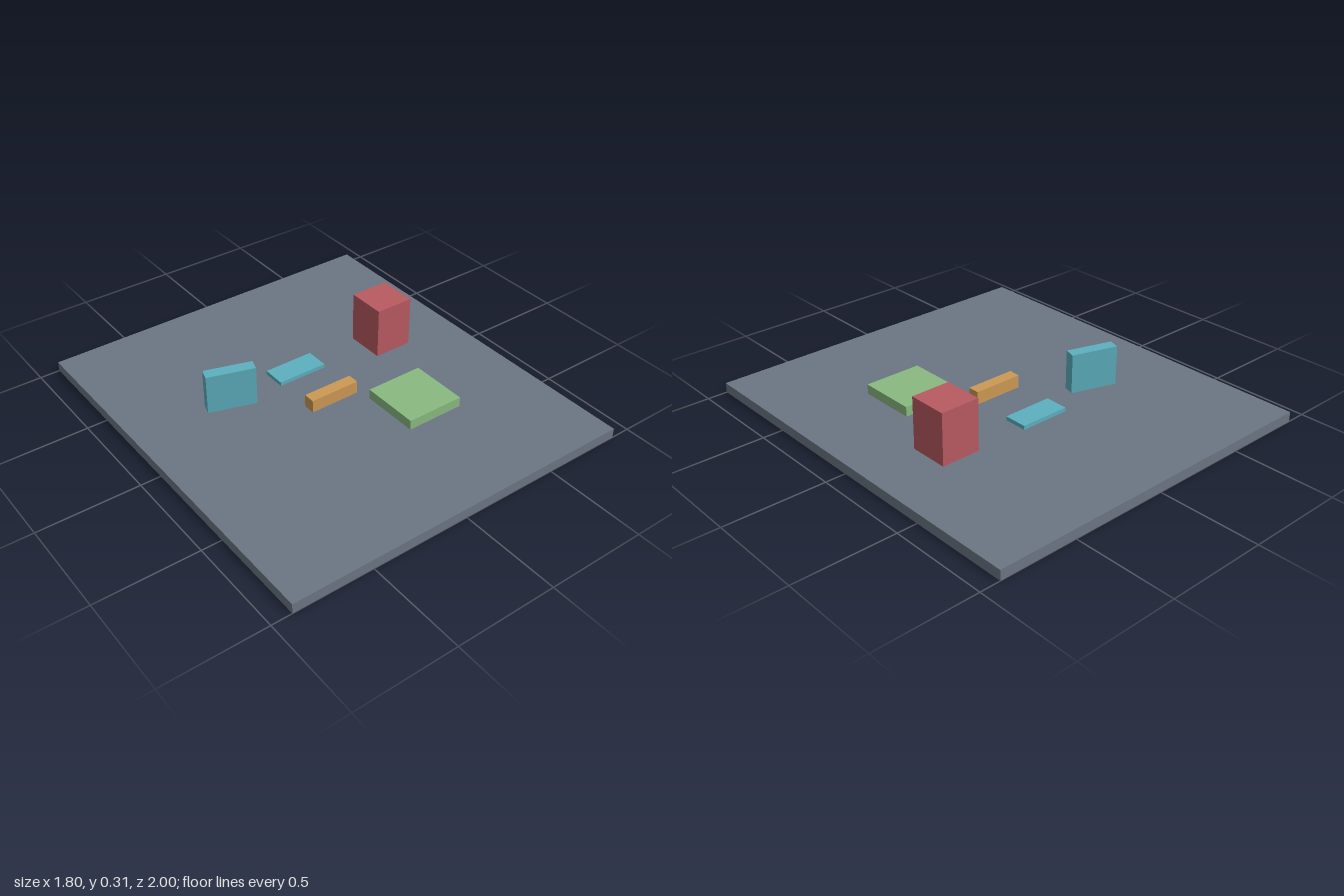
import * as THREE from 'three';

const flat = (name, color) => {
  const m = new THREE.MeshStandardMaterial({ color });
  m.name = name;
  return m;
};

export function createModel() {
  const model = new THREE.Group();
  model.name = 'blocksOnBoard';

  const slate = flat('slate', 0x6b7683);
  const teal = flat('teal', 0x5cafbe);
  const red = flat('red', 0xb85a61);
  const orange = flat('orange', 0xcc9955);
  const green = flat('green', 0x8aba80);

  // Box of size w, h, d resting at height y
  const block = (name, material, [w, h, d], [x, y, z], turn = 0) => {
    const mesh = new THREE.Mesh(new THREE.BoxGeometry(w, h, d), material);
    mesh.name = name;
    mesh.position.set(x, y + h / 2, z);
    mesh.rotation.y = turn;
    model.add(mesh);
  };

  const top = 0.05; // upper face of the board

  block('baseBoard', slate, [1.8, top, 2], [0, 0, 0]);
  block('standingPanel', teal, [0.24, 0.2, 0.06], [-0.4, top, -0.2], -0.3);
  block('flatPanel', teal, [0.26, 0.02, 0.12], [0, top, -0.24]);
  block('tallBlock', red, [0.2, 0.26, 0.2], [0.5, top, -0.2]);
  block('smallBar', orange, [0.26, 0.065, 0.06], [0, top, 0.05]);
  block('squareSlab', green, [0.3, 0.05, 0.3], [0.3, top, 0.3]);

  return model;
}
